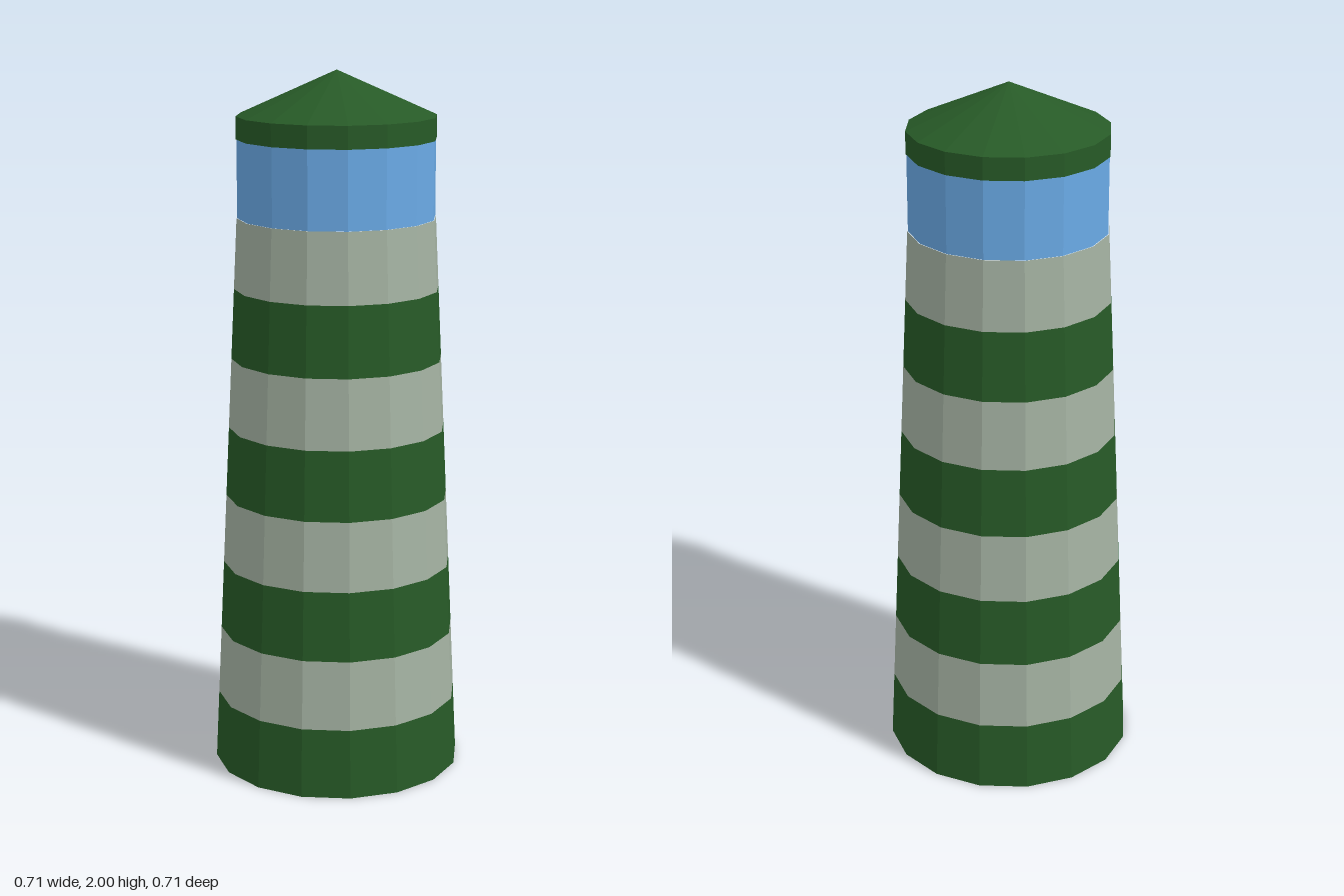
import * as THREE from 'three';

const SIDES = 16;

function paint(name, color) {
  const material = new THREE.MeshStandardMaterial({ color, flatShading: true });
  material.name = name;
  return material;
}

export function createModel() {
  const model = new THREE.Group();
  model.name = 'lighthouse';
  const green = paint('dark green', 0x275a27);
  const grey = paint('pale grey', 0xa5b3a3);
  const blue = paint('window blue', 0x6aaae6);

  // Upright ring of wall between two heights
  function section(name, material, y0, y1, r0, r1, open = true) {
    const geometry = new THREE.CylinderGeometry(r1, r0, y1 - y0, SIDES, 1, open);
    const mesh = new THREE.Mesh(geometry, material);
    mesh.name = name;
    mesh.position.y = (y0 + y1) / 2;
    model.add(mesh);
  }

  // Tapered tower in eight alternating bands
  const towerTop = 1.594, bands = 8;
  const radiusAt = (y) => THREE.MathUtils.lerp(0.356, 0.28, y / towerTop);
  for (let i = 0; i < bands; i++) {
    const y0 = (towerTop * i) / bands;
    const y1 = (towerTop * (i + 1)) / bands;
    section(`towerBand${i + 1}`, i % 2 ? grey : green, y0, y1, radiusAt(y0), radiusAt(y1));
  }

  // Floor closing the tower from below
  const base = new THREE.Mesh(new THREE.CircleGeometry(0.356, SIDES), green);
  base.name = 'base';
  base.rotation.x = Math.PI / 2;
  model.add(base);

  // Glazed lantern room, roof rim and pointed roof
  section('lanternRoom', blue, towerTop, 1.812, 0.278, 0.278, false);
  section('roofRim', green, 1.812, 1.875, 0.28, 0.28, false);
  const roof = new THREE.Mesh(new THREE.ConeGeometry(0.28, 0.125, SIDES, 1, true), green);
  roof.name = 'roof';
  roof.position.y = 1.9375;
  model.add(roof);

  return model;
}
